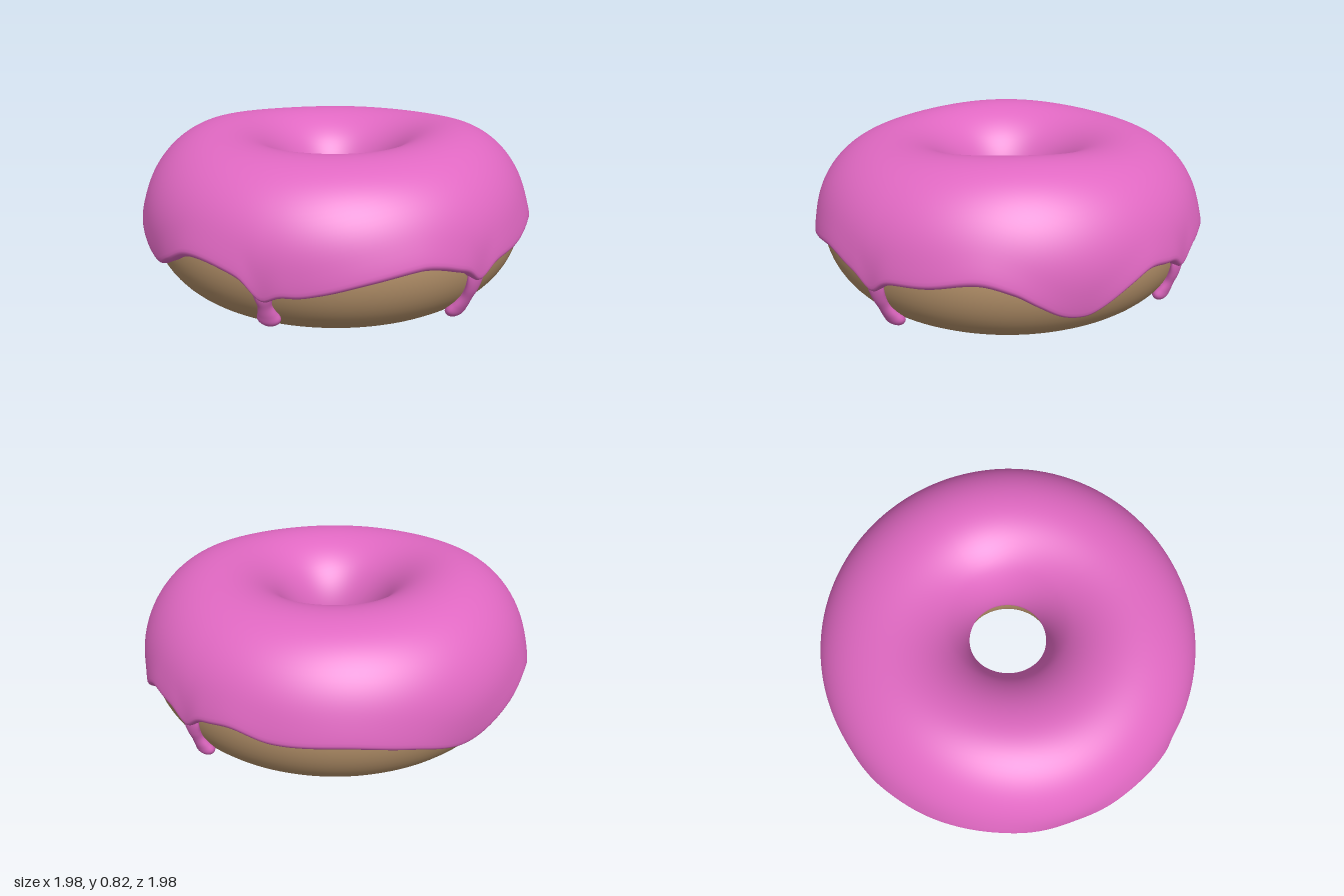
import * as THREE from 'three';
import { mergeVertices } from 'three/addons/utils/BufferGeometryUtils.js';

const RING = 0.585, RX = 0.365, RY = 0.38, RAD = Math.PI / 180;

// Point over the dough: a = angle round the ring, p = angle round the section, t = height above the dough
function over(a, p, t) {
  const r = RING + (RX + t) * Math.cos(p);
  return new THREE.Vector3(r * Math.cos(a), RY + (RY + t) * Math.sin(p), r * Math.sin(a));
}

// Smooth surface from a grid of points
function surface(nu, nv, fn) {
  const pos = [], index = [];
  for (let i = 0; i <= nu; i++)
    for (let j = 0; j <= nv; j++) pos.push(...fn(i / nu, j / nv).toArray());
  for (let i = 0; i < nu; i++)
    for (let j = 0; j < nv; j++) {
      const k = i * (nv + 1) + j, m = k + nv + 1;
      index.push(k, k + 1, m, m, k + 1, m + 1);
    }
  let g = new THREE.BufferGeometry();
  g.setAttribute('position', new THREE.Float32BufferAttribute(pos, 3));
  g.setIndex(index);
  g = mergeVertices(g, 1e-5);
  g.computeVertexNormals();
  return g;
}

// Wavy lower edge of the icing: [degrees round the ring, height]
const EDGE = [
  [0, 0.28], [6, 0.34], [15, 0.38], [28, 0.34], [37, 0.325], [45, 0.31], [52, 0.325], [59, 0.36],
  [65, 0.372], [78, 0.335], [90, 0.285], [97, 0.265], [105, 0.285], [111, 0.33], [121, 0.37],
  [129, 0.365], [137, 0.3], [146, 0.245], [160, 0.325], [168, 0.36], [180, 0.355], [190, 0.335],
  [202, 0.36], [214, 0.295], [231, 0.215], [250, 0.29], [265, 0.33], [285, 0.33], [296, 0.365],
  [304, 0.35], [312, 0.335], [320, 0.345], [328, 0.36], [335, 0.31], [345, 0.21], [349, 0.2], [354, 0.22],
];
// Drips: [degrees round the ring, height of the tip]
const DRIPS = [[45.5, 0.05], [105.3, 0.1], [312, 0.1]];

function edgeHeight(deg) {
  const n = EDGE.length;
  const at = (i) => [EDGE[(i + n) % n][0] + 360 * Math.floor(i / n), EDGE[(i + n) % n][1]];
  let i = 0;
  while (i < n - 1 && at(i + 1)[0] <= deg) i++;
  const [p, q, r, s] = [at(i - 1), at(i), at(i + 1), at(i + 2)];
  const d = r[0] - q[0], u = (deg - q[0]) / d;
  const m0 = d * (r[1] - p[1]) / (r[0] - p[0]), m1 = d * (s[1] - q[1]) / (s[0] - q[0]);
  const u2 = u * u, u3 = u2 * u;
  let y = (2 * u3 - 3 * u2 + 1) * q[1] + (u3 - 2 * u2 + u) * m0 + (3 * u2 - 2 * u3) * r[1] + (u3 - u2) * m1;
  // flare into each drip
  for (const [c] of DRIPS) y -= 0.055 * Math.exp(-(((deg - c) / 3.6) ** 2));
  return y;
}

const sectionAngle = (y) => Math.asin((y - RY) / (RY + 0.025));

function icingPoint(u, v) {
  const deg = (u % 1) * 360, a = deg * RAD;
  const p0 = sectionAngle(edgeHeight(deg)), p1 = Math.PI + 0.02;
  // rows bunch up at both rims, where the icing rolls under
  const w = 0.1, span = p1 - p0, k = 0.12;
  let d;
  if (v < k) d = w * (1 - Math.cos((v / k) * Math.PI / 2));
  else if (v > 1 - k) d = span - w * (1 - Math.cos(((1 - v) / k) * Math.PI / 2));
  else d = w + (span - 2 * w) * (v - k) / (1 - 2 * k);
  const near = Math.min(1, d / w, (span - d) / w);
  const roll = Math.sqrt(Math.max(0, 1 - (1 - near) ** 2));
  const full = (d < span / 2 ? 0.03 + 0.014 * Math.exp(-((d / 0.22) ** 2)) : 0.018 + 0.012 * Math.min(1, (span - d) / 0.8));
  const pt = over(a, p0 + d, -0.006 + (full + 0.006) * roll);
  // gentle swell on the top at both sides
  pt.y += 0.03 * Math.cos(a - 0.1) ** 4 * Math.max(0, Math.sin(p0 + d)) ** 2;
  return pt;
}

// Drip outline: (distance down, half width, thickness)
const dripCurve = new THREE.CatmullRomCurve3([
  [0, 0.05, 0.015], [0.22, 0.052, 0.03], [0.42, 0.04, 0.036], [0.58, 0.033, 0.036], [0.74, 0.044, 0.044],
  [0.87, 0.054, 0.052], [0.96, 0.038, 0.042], [1, 0, 0.012],
].map((p) => new THREE.Vector3(...p)));

function dripGeometry(deg, tip) {
  const top = sectionAngle(0.37), low = sectionAngle(tip);
  return surface(24, 40, (u, v) => {
    const c = dripCurve.getPoint(v), q = u * Math.PI * 2;
    const p = top + (low - top) * c.x;
    const r = RING + RX * Math.cos(p);
    const side = v === 1 ? 0 : Math.max(0, c.y) * Math.cos(q);
    const t = v === 1 ? 0.012 : c.z * (0.35 + 0.65 * Math.sin(q));
    return over(deg * RAD + side / r, p, t);
  });
}

export function createModel() {
  const dough = new THREE.MeshStandardMaterial({ color: 0xb8946c });
  dough.name = 'dough brown';
  const pink = new THREE.MeshStandardMaterial({ color: 0xe068c2 });
  pink.name = 'icing pink';

  const group = new THREE.Group();
  group.name = 'doughnut';
  const add = (name, geometry, material) => {
    const mesh = new THREE.Mesh(geometry, material);
    mesh.name = name;
    group.add(mesh);
  };

  add('doughRing', surface(128, 64, (u, v) => over((u % 1) * 2 * Math.PI, (v % 1) * 2 * Math.PI, 0)), dough);
  add('icing', surface(360, 64, icingPoint), pink);
  DRIPS.forEach(([deg, tip], i) => add('icingDrip' + (i + 1), dripGeometry(deg, tip), pink));
  return group;
}
